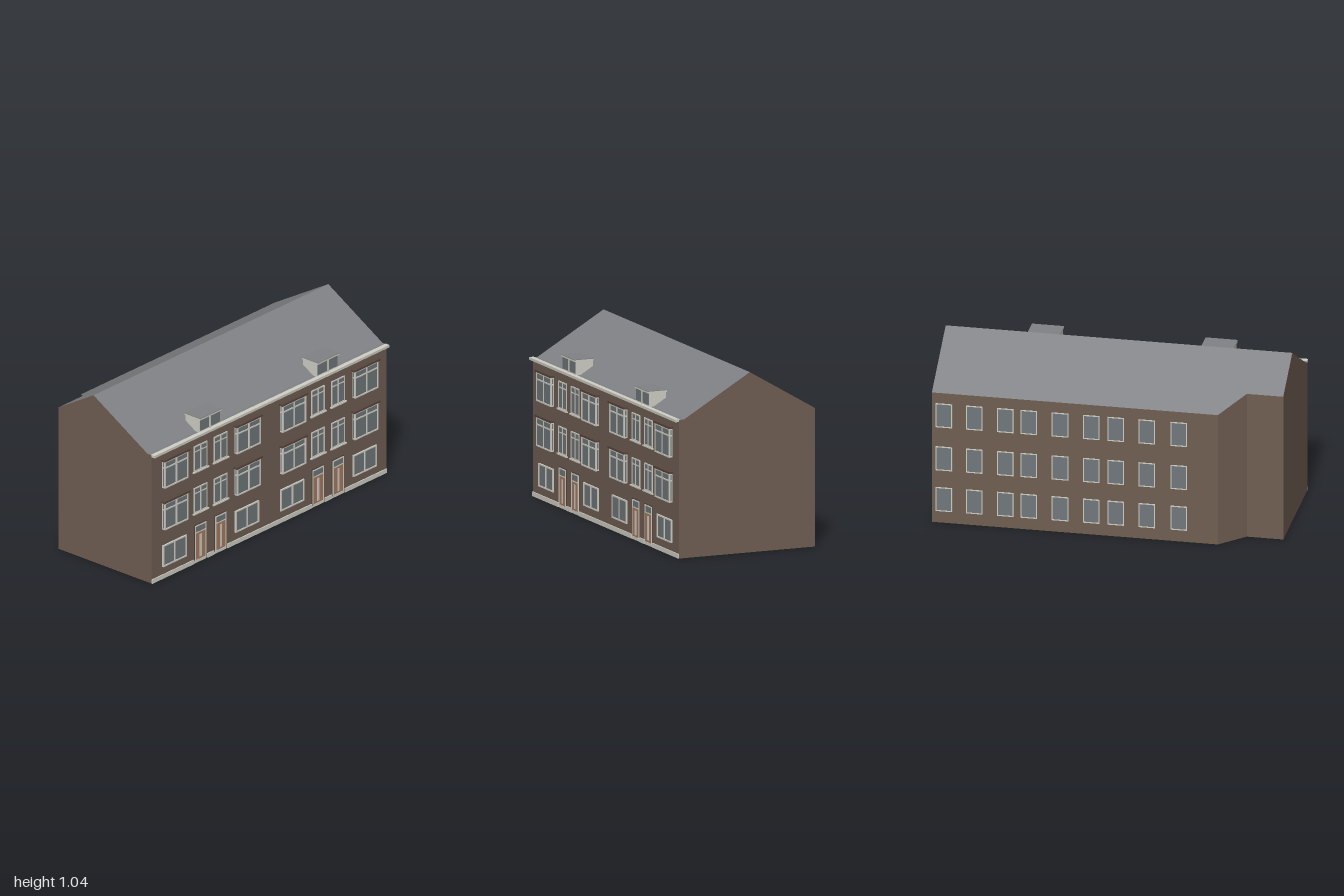
import * as THREE from 'three';

const mat = (name, color, side = THREE.FrontSide) => {
  const m = new THREE.MeshStandardMaterial({ color, side });
  m.name = name;
  return m;
};

export function createModel() {
  const brick = mat('brick', 0x705e53);
  const slate = mat('slate', 0x808184);
  const cream = mat('cream paint', 0xcfcfc4);
  const glass = mat('window glass', 0x70777b);
  const wood = mat('door wood', 0xa87c62);
  const dark = mat('dark brown trim', 0x57463c);

  const model = new THREE.Group();
  model.name = 'terracedBuilding';
  const group = (name) => {
    const g = new THREE.Group();
    g.name = name;
    model.add(g);
    return g;
  };
  // Box given by its limits on each axis
  const box = (parent, name, material, x0, x1, y0, y1, z0, z1) => {
    const m = new THREE.Mesh(new THREE.BoxGeometry(x1 - x0, y1 - y0, z1 - z0), material);
    m.position.set((x0 + x1) / 2, (y0 + y1) / 2, (z0 + z1) / 2);
    m.name = name;
    parent.add(m);
  };

  // Shell: walls rise from the footprint to the height of the gable roof
  const FRONT = 0.41, BACK = -0.435, RIDGE = -0.03, EAVE = 0.38;
  const roofY = (z) => z >= EAVE ? 0.8
    : z > RIDGE ? 0.8 + 0.24 * (EAVE - z) / (EAVE - RIDGE)
      : 1.04 - 0.24 * (RIDGE - z) / (RIDGE - BACK);
  const plan = [[-1, FRONT], [1, FRONT], [1, EAVE], [1, RIDGE], [1, BACK],
    [-0.65, BACK], [-0.79, -0.295], [-1, -0.295], [-1, RIDGE], [-1, EAVE]];
  const low = plan.map(([x, z]) => [x, 0, z]);
  const high = plan.map(([x, z]) => [x, roofY(z), z]);
  const fan = (points) => {
    const out = [];
    for (let i = 1; i < points.length - 1; i++) out.push(...points[0], ...points[i], ...points[i + 1]);
    return out;
  };
  const shell = (name, material, polygons) => {
    const g = new THREE.BufferGeometry();
    g.setAttribute('position', new THREE.Float32BufferAttribute(polygons.flatMap(fan), 3));
    g.computeVertexNormals();
    const m = new THREE.Mesh(g, material);
    m.name = name;
    model.add(m);
  };
  const n = plan.length;
  shell('walls', brick, plan.map((_, i) => {
    const j = (i + 1) % n;
    return [low[i], low[j], high[j], high[i]];
  }));
  const floorLoop = [...low.slice(3), ...low.slice(0, 3)];
  shell('floor', brick, [[floorLoop[0], ...floorLoop.slice(1).reverse()]]);
  shell('roof', slate, [[0, 1, 2, 9], [9, 2, 3, 8], [3, 4, 5, 6, 7, 8]].map((f) => f.map((i) => high[i])));

  // Frame bars around an opening, with optional mullion and transom
  const frame = (g, x0, x1, y0, y1, z0, z1, t, mullion, transom) => {
    box(g, 'frameSide', cream, x0, x0 + t, y0, y1, z0, z1);
    box(g, 'frameSide', cream, x1 - t, x1, y0, y1, z0, z1);
    box(g, 'frameBottom', cream, x0 + t, x1 - t, y0, y0 + t, z0, z1);
    box(g, 'frameTop', cream, x0 + t, x1 - t, y1 - t, y1, z0, z1);
    const c = (x0 + x1) / 2;
    if (mullion) box(g, 'mullion', cream, c - t / 2, c + t / 2, y0 + t, y1 - t, z0, z1);
    if (transom) box(g, 'transom', cream, x0 + t, x1 - t, transom - t / 2, transom + t / 2, z0, z1 - 0.001);
  };

  // Wide windows: shallow glazed bays above, flat windows on the ground floor
  for (const c of [-0.81, -0.193, 0.193, 0.81]) {
    const x0 = c - 0.1, x1 = c + 0.1;
    for (const y0 of [0.307, 0.567]) {
      const g = group('bayWindow'), y1 = y0 + 0.168, t = 0.008;
      box(g, 'glass', glass, x0 + 0.002, x1 - 0.002, y0 + 0.002, y1, 0.4, 0.427);
      frame(g, x0, x1, y0, y1, 0.423, 0.432, t, true, y0 + 0.126);
      for (const [a, b] of [[x0, x0 + t], [x1 - t, x1]]) {
        box(g, 'wallPost', cream, a, b, y0, y1, 0.405, 0.414);
        box(g, 'sideSill', cream, a, b, y0, y0 + t, 0.414, 0.423);
        box(g, 'sideTransom', cream, a, b, y0 + 0.122, y0 + 0.13, 0.414, 0.423);
        box(g, 'sideHead', cream, a, b, y1 - t, y1, 0.414, 0.423);
      }
      box(g, 'canopy', dark, x0 - 0.01, x1 + 0.01, y1, y1 + 0.012, 0.4, 0.437);
    }
    const g = group('groundWindow');
    box(g, 'glass', glass, x0 + 0.002, x1 - 0.002, 0.075, 0.203, 0.4, 0.414);
    frame(g, x0, x1, 0.073, 0.207, 0.405, 0.419, 0.008, true);
  }

  // Narrow windows stacked above each front door
  for (const c of [-0.586, -0.415, 0.415, 0.586]) {
    for (const y0 of [0.313, 0.573]) {
      const g = group('narrowWindow');
      box(g, 'glass', glass, c - 0.055, c + 0.055, y0, y0 + 0.155, 0.4, 0.412);
      frame(g, c - 0.056, c + 0.056, y0, y0 + 0.158, 0.405, 0.415, 0.007, true, y0 + 0.122);
      box(g, 'sill', cream, c - 0.066, c + 0.066, y0 - 0.008, y0, 0.4, 0.421);
    }
    const d = group('frontDoor');
    box(d, 'surround', dark, c - 0.053, c + 0.053, 0.012, 0.238, 0.4, 0.4115);
    box(d, 'doorLeaf', wood, c - 0.04, c + 0.04, 0.015, 0.183, 0.4, 0.414);
    box(d, 'doorLight', cream, c - 0.009, c + 0.009, 0.03, 0.17, 0.41, 0.4155);
    box(d, 'transomGlass', glass, c - 0.04, c + 0.04, 0.19, 0.225, 0.4, 0.413);
    frame(d, c - 0.047, c + 0.047, 0.013, 0.231, 0.405, 0.416, 0.006, false, 0.187);
    box(d, 'doorstep', cream, c - 0.05, c + 0.05, 0, 0.012, 0.4, 0.413);
  }

  // Plinth, interrupted at the doors
  const stops = [-1, -0.642, -0.53, -0.471, -0.359, 0.359, 0.471, 0.53, 0.642, 1];
  const plinth = group('plinth');
  for (let i = 0; i < stops.length; i += 2) {
    box(plinth, 'plinthLength', cream, stops[i], stops[i + 1], 0, 0.026, 0.4, 0.416);
  }

  // Eaves gutter
  box(model, 'gutter', cream, -1, 1, 0.788, 0.803, 0.405, 0.433);

  // Flat-roofed dormers
  for (const c of [-0.504, 0.498]) {
    const g = group('dormer'), x0 = c - 0.088, x1 = c + 0.088;
    box(g, 'cheeks', cream, x0, x1, 0.795, 0.88, 0.302, 0.408);
    box(g, 'glass', glass, x0 + 0.004, x1 - 0.004, 0.81, 0.88, 0.405, 0.411);
    box(g, 'mullion', cream, c - 0.007, c + 0.007, 0.8, 0.88, 0.405, 0.414);
    box(g, 'fascia', cream, x0 - 0.004, x1 + 0.004, 0.879, 0.889, 0.3, 0.418);
    box(g, 'flatRoof', slate, x0 - 0.005, x1 + 0.005, 0.889, 0.892, 0.299, 0.419);
  }

  // Rear windows: nine to each floor
  for (const c of [0.93, 0.755, 0.575, 0.44, 0.26, 0.08, -0.062, -0.24, -0.425]) {
    for (const y0 of [0.07, 0.322, 0.588]) {
      const g = group('rearWindow');
      box(g, 'glass', glass, c - 0.046, c + 0.046, y0, y0 + 0.147, -0.4362, -0.425);
      frame(g, c - 0.048, c + 0.048, y0, y0 + 0.148, -0.438, -0.425, 0.006, false);
    }
  }
  return model;
}
